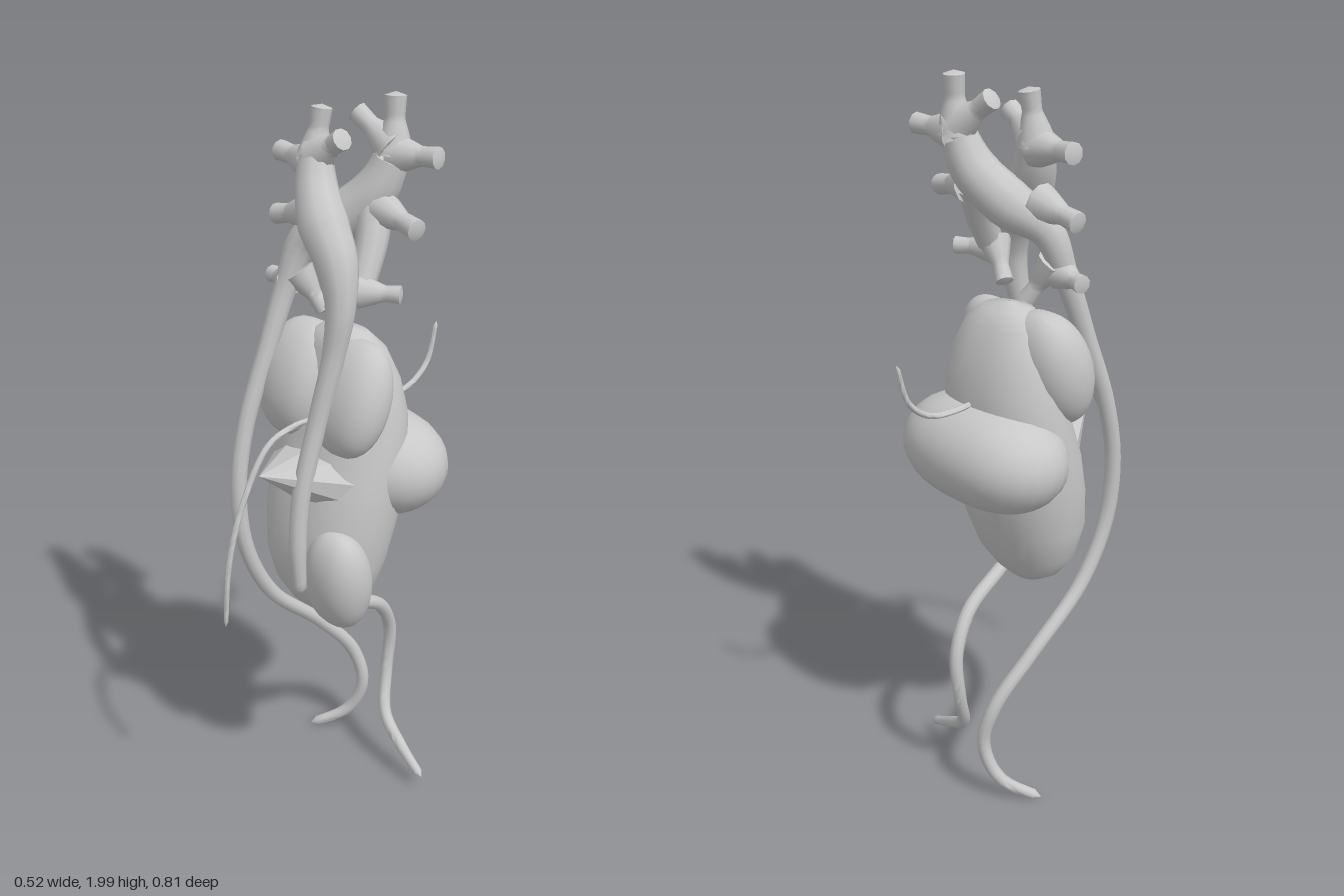
import * as THREE from 'three';
import { mergeVertices, toCreasedNormals } from 'three/addons/utils/BufferGeometryUtils.js';

const flesh = new THREE.MeshStandardMaterial({ color: 0xc8c8c8 });
flesh.name = 'grey flesh';

// Weld seams, then smooth everything but sharp rims
function smooth(geo) {
  geo.deleteAttribute('uv');
  geo.deleteAttribute('normal');
  return toCreasedNormals(mergeVertices(geo, 1e-5), 0.9);
}

// Tapered tube through points [x, y, z, radius], closed at both ends
function vessel(name, points, segments = 16, sides = 10) {
  const curve = new THREE.CatmullRomCurve3(points.map(p => new THREE.Vector3(p[0], p[1], p[2])));
  const geo = new THREE.TubeGeometry(curve, segments, 1, sides);
  const pos = geo.attributes.position, v = new THREE.Vector3();
  for (let i = 0; i < pos.count; i++) {
    const ring = Math.floor(i / (sides + 1));
    const u = ring / segments, c = curve.getPointAt(u);
    const t = curve.getUtoTmapping(u) * (points.length - 1);
    const k = Math.min(Math.floor(t), points.length - 2);
    const cap = ring === 0 || ring === segments;
    const r = cap ? 0 : THREE.MathUtils.lerp(points[k][3], points[k + 1][3], t - k);
    v.fromBufferAttribute(pos, i).sub(c).multiplyScalar(r).add(c);
    pos.setXYZ(i, v.x, v.y, v.z);
  }
  const mesh = new THREE.Mesh(smooth(geo), flesh);
  mesh.name = name;
  return mesh;
}

// Short stump: broad root, narrow neck, slightly flared blunt end
function stump(name, from, to, r = 0.027) {
  const at = t => from.map((a, i) => a + (to[i] - a) * t);
  return vessel(name, [
    [...from, r * 2], [...at(0.35), r * 1.4], [...at(0.6), r * 0.92], [...at(0.85), r], [...to, r * 1.05],
  ], 18);
}

// Squarish ellipsoid; power below 1 fills out the sides
function lobe(name, center, radii, rotation = [0, 0, 0], power = 1) {
  const geo = new THREE.SphereGeometry(1, 24, 16);
  const pos = geo.attributes.position;
  for (let i = 0; i < pos.count; i++) {
    const x = pos.getX(i);
    pos.setX(i, Math.sign(x) * Math.abs(x) ** power);
  }
  geo.scale(...radii);
  const mesh = new THREE.Mesh(smooth(geo), flesh);
  mesh.name = name;
  mesh.position.set(...center);
  mesh.rotation.set(...rotation);
  return mesh;
}

// Central sac: rings [y, half width, back z, front z]
function createSac() {
  const rings = [
    [0.592, 0.002, 0.03, 0.04], [0.60, 0.06, 0.0, 0.08], [0.63, 0.11, -0.03, 0.115],
    [0.69, 0.155, -0.07, 0.15], [0.78, 0.182, -0.105, 0.172], [0.89, 0.195, -0.14, 0.165],
    [1.0, 0.2, -0.155, 0.14], [1.1, 0.195, -0.17, 0.105], [1.19, 0.185, -0.168, 0.08],
    [1.28, 0.165, -0.148, 0.06], [1.36, 0.13, -0.115, 0.045], [1.4, 0.08, -0.08, 0.025],
    [1.414, 0.002, -0.03, -0.02],
  ];
  const n = 28, pos = [], index = [];
  rings.forEach(([y, w, back, front], r) => {
    for (let i = 0; i < n; i++) {
      const a = i / n * Math.PI * 2, s = Math.sin(a), c = Math.cos(a);
      pos.push(Math.sign(s) * Math.abs(s) ** 0.85 * w, y, (front + back) / 2 + c * (front - back) / 2);
      if (r === rings.length - 1) continue;
      const p = r * n + i, q = r * n + (i + 1) % n;
      index.push(p, q, q + n, p, q + n, p + n);
    }
  });
  const geo = new THREE.BufferGeometry();
  geo.setAttribute('position', new THREE.Float32BufferAttribute(pos, 3));
  geo.setIndex(index);
  geo.computeVertexNormals();
  const mesh = new THREE.Mesh(geo, flesh);
  mesh.name = 'centralSac';
  return mesh;
}

// Faceted spike on the front, tip raised
function createSpike() {
  const geo = new THREE.ConeGeometry(1, 1, 10, 3).toNonIndexed();
  geo.rotateX(Math.PI / 2);
  geo.scale(0.165, 0.095, 0.2);
  const pos = geo.attributes.position;
  for (let i = 0; i < pos.count; i++) pos.setY(i, pos.getY(i) + (pos.getZ(i) + 0.1) * 0.35);
  geo.computeVertexNormals();
  const mesh = new THREE.Mesh(geo, flesh);
  mesh.name = 'frontSpike';
  mesh.position.set(0, 1.005, 0.175);
  return mesh;
}

export function createModel() {
  const model = new THREE.Group();
  model.name = 'organ';

  // Sac and its lobes
  model.add(
    createSac(),
    lobe('upperRightLobe', [-0.108, 1.25, 0.02], [0.118, 0.162, 0.095], [-0.3, 0, 0], 0.75),
    lobe('upperLeftLobe', [0.1, 1.25, 0.035], [0.11, 0.155, 0.078], [-0.33, 0, 0], 0.75),
    lobe('lowerLeftLobe', [0.122, 0.757, 0.11], [0.097, 0.152, 0.08], [0.15, 0, -0.1], 0.8),
    lobe('rearBulge', [0, 1.02, -0.115], [0.26, 0.147, 0.165], [0.12, 0, 0], 0.75),
    createSpike(),
  );

  // Long vessels, crossing above the sac
  model.add(
    vessel('rightLongVessel', [
      [0.08, 1.86, -0.13, 0.044], [0.04, 1.76, -0.105, 0.06], [-0.04, 1.68, -0.06, 0.064],
      [-0.12, 1.62, -0.01, 0.044], [-0.15, 1.5, 0.03, 0.032], [-0.165, 1.33, 0.09, 0.027],
      [-0.178, 1.13, 0.16, 0.024], [-0.175, 0.95, 0.195, 0.023], [-0.165, 0.77, 0.182, 0.022],
      [-0.155, 0.6, 0.1, 0.021], [-0.14, 0.44, -0.07, 0.02], [-0.11, 0.3, -0.185, 0.02],
      [-0.09, 0.18, -0.21, 0.019], [-0.13, 0.07, -0.185, 0.018], [-0.215, 0.01, -0.105, 0.014],
    ], 90),
    vessel('leftFrontVessel', [
      [-0.08, 1.86, -0.01, 0.042], [-0.05, 1.77, 0.015, 0.055], [0.005, 1.69, 0.045, 0.066],
      [0.065, 1.61, 0.06, 0.056], [0.095, 1.51, 0.075, 0.04], [0.09, 1.38, 0.095, 0.03],
      [0.07, 1.2, 0.135, 0.026], [0.06, 1.0, 0.185, 0.025], [0.062, 0.85, 0.2, 0.024],
      [0.062, 0.72, 0.192, 0.018],
    ], 60),
    vessel('leftTail', [
      [0.055, 0.64, 0.04, 0.018], [0.05, 0.6, -0.03, 0.02], [0.035, 0.53, -0.15, 0.02],
      [0.018, 0.42, -0.212, 0.019], [0.015, 0.28, -0.205, 0.018], [0.055, 0.16, -0.16, 0.018],
      [0.14, 0.1, -0.135, 0.017], [0.245, 0.045, -0.115, 0.012],
    ], 50),
    // Short link from the rear trunk down to the low stumps
    vessel('leftLowerBranch', [
      [0.04, 1.73, -0.1, 0.05], [0.07, 1.64, -0.06, 0.042], [0.09, 1.54, -0.005, 0.034],
    ]),
  );

  // Thin feelers front and back
  model.add(
    vessel('frontFeeler', [
      [0, 1.17, 0.05, 0.008], [0, 1.178, 0.14, 0.008], [0, 1.15, 0.24, 0.008],
      [0, 1.02, 0.33, 0.008], [0, 0.86, 0.385, 0.008], [0, 0.68, 0.404, 0.006],
    ], 40, 8),
    vessel('rearFeeler', [
      [0, 1.17, -0.12, 0.008], [0, 1.16, -0.22, 0.008], [0, 1.17, -0.3, 0.008],
      [0, 1.22, -0.365, 0.008], [0, 1.33, -0.4, 0.006],
    ], 30, 8),
  );

  // Cut stumps: [name, root, end]
  const stumps = [
    ['frontTopOuterStump', [-0.08, 1.82, -0.01], [-0.237, 1.828, -0.03]],
    ['frontTopStump', [-0.085, 1.82, -0.01], [-0.075, 1.965, -0.03]],
    ['frontTopInnerStump', [-0.075, 1.84, -0.01], [0.03, 1.9, 0.0]],
    ['rearTopOuterStump', [0.07, 1.85, -0.13], [0.215, 1.857, -0.15]],
    ['rearTopStump', [0.075, 1.84, -0.13], [0.07, 2.0, -0.14]],
    ['rearTopInnerStump', [0.08, 1.86, -0.13], [-0.04, 1.945, -0.11]],
    ['rearSideStump', [0.05, 1.72, -0.1], [0.215, 1.69, -0.075]],
    ['rightSideStump', [-0.1, 1.69, -0.02], [-0.245, 1.66, -0.02]],
    ['rightLowOuterStump', [-0.14, 1.51, 0.02], [-0.24, 1.503, 0.0]],
    ['rightLowInnerStump', [-0.13, 1.54, 0.01], [-0.065, 1.43, -0.03]],
    ['leftLowOuterStump', [0.09, 1.53, 0.01], [0.19, 1.53, -0.05]],
    ['leftLowInnerStump', [0.085, 1.56, 0.0], [0.005, 1.46, -0.035]],
  ];
  for (const [name, root, end] of stumps) model.add(stump(name, root, end, name.includes('Low') ? 0.023 : 0.027));

  return model;
}
